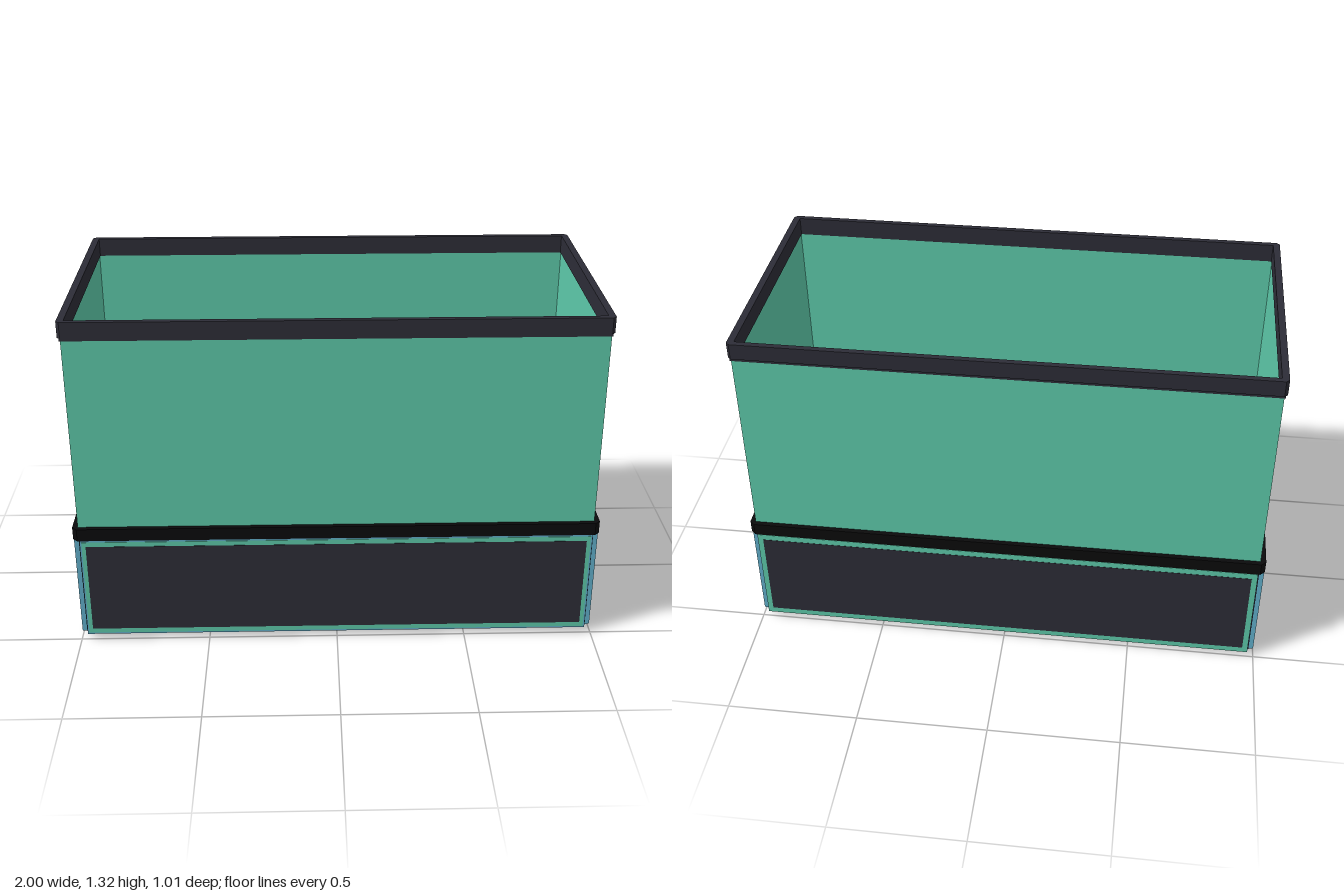
import * as THREE from 'three';

const material = (name, color) => {
  const m = new THREE.MeshStandardMaterial({ color });
  m.name = name;
  return m;
};

// Rectangle outline with optional chamfered corners
function outline(target, hx, hy, c = 0) {
  const pts = c
    ? [[hx - c, -hy], [hx, -hy + c], [hx, hy - c], [hx - c, hy],
       [-hx + c, hy], [-hx, hy - c], [-hx, -hy + c], [-hx + c, -hy]]
    : [[hx, -hy], [hx, hy], [-hx, hy], [-hx, -hy]];
  target.setFromPoints(pts.map(([x, y]) => new THREE.Vector2(x, y)));
  return target;
}

// Extruded rectangle, hollow when inner half sizes are given
function frame(hx, hy, depth, inner, chamfer = 0) {
  const shape = outline(new THREE.Shape(), hx, hy, chamfer);
  if (inner) shape.holes.push(outline(new THREE.Path(), inner[0], inner[1]));
  return new THREE.ExtrudeGeometry(shape, { depth, bevelEnabled: false });
}

export function createModel() {
  const group = new THREE.Group();
  const charcoal = material('charcoal', 0x2d2d37);
  const black = material('black', 0x0a0a0b);
  const green = material('green glass', 0x5ecbab);
  const blue = material('blue edging', 0x62b0cc);

  const add = (parent, name, geometry, mat, x = 0, y = 0, z = 0) => {
    const mesh = new THREE.Mesh(geometry, mat);
    mesh.name = name;
    mesh.position.set(x, y, z);
    parent.add(mesh);
    return mesh;
  };
  const ring = (name, mat, hx, hz, y0, y1, inner, chamfer) =>
    add(group, name, frame(hx, hz, y1 - y0, inner, chamfer).rotateX(-Math.PI / 2), mat, 0, y0);

  // Plinth and cabinet core
  add(group, 'plinth', new THREE.BoxGeometry(1.92, 0.03, 0.93), charcoal, 0, 0.015);
  add(group, 'cabinetCore', new THREE.BoxGeometry(1.96, 0.418, 0.97), charcoal, 0, 0.236);

  // Edged panels on the four sides, each built facing +z
  const yMid = 0.235;
  const sides = [
    { name: 'front', half: 0.975, dist: 0.505, turn: 0, edge: green, rim: 0.968 },
    { name: 'back', half: 0.975, dist: 0.505, turn: Math.PI, edge: green, rim: 0.973 },
    { name: 'left', half: 0.48, dist: 1.0, turn: Math.PI / 2, edge: blue, rim: 0.478 },
    { name: 'right', half: 0.48, dist: 1.0, turn: -Math.PI / 2, edge: blue, rim: 0.478 },
  ];
  for (const s of sides) {
    const panel = new THREE.Group();
    panel.name = s.name + 'Panel';
    panel.rotation.y = s.turn;
    const face = s.half - 0.022;
    const rimHeight = 0.21 - (s.half - s.rim);
    add(panel, 'panelBoard', new THREE.BoxGeometry(2 * s.half, 0.42, 0.017), blue, 0, yMid, s.dist - 0.0115);
    add(panel, 'panelEdging', frame(s.rim, rimHeight, 0.002, [face, 0.184]), s.edge, 0, yMid, s.dist - 0.003);
    add(panel, 'panelFace', new THREE.BoxGeometry(2 * face, 0.368, 0.004), charcoal, 0, yMid, s.dist - 0.002);
    if (s.name === 'left') {
      add(panel, 'edgeStrip', new THREE.BoxGeometry(0.014, 0.39, 0.002), green, -0.467, yMid, s.dist - 0.001);
    }
    group.add(panel);
  }

  // Black trim between cabinet and tank
  ring('lowerTrim', black, 1.0, 0.505, 0.445, 0.495, null, 0.018);

  // Open tank
  ring('tankWalls', green, 0.979, 0.486, 0.49, 1.27, [0.967, 0.474]);
  add(group, 'tankFloor', new THREE.BoxGeometry(1.94, 0.012, 0.954), green, 0, 0.498);

  // Top rim with a small step under it
  ring('rimStep', charcoal, 0.983, 0.489, 1.25, 1.262, [0.964, 0.471]);
  ring('topRim', charcoal, 0.99, 0.493, 1.26, 1.322, [0.964, 0.471], 0.012);

  return group;
}
